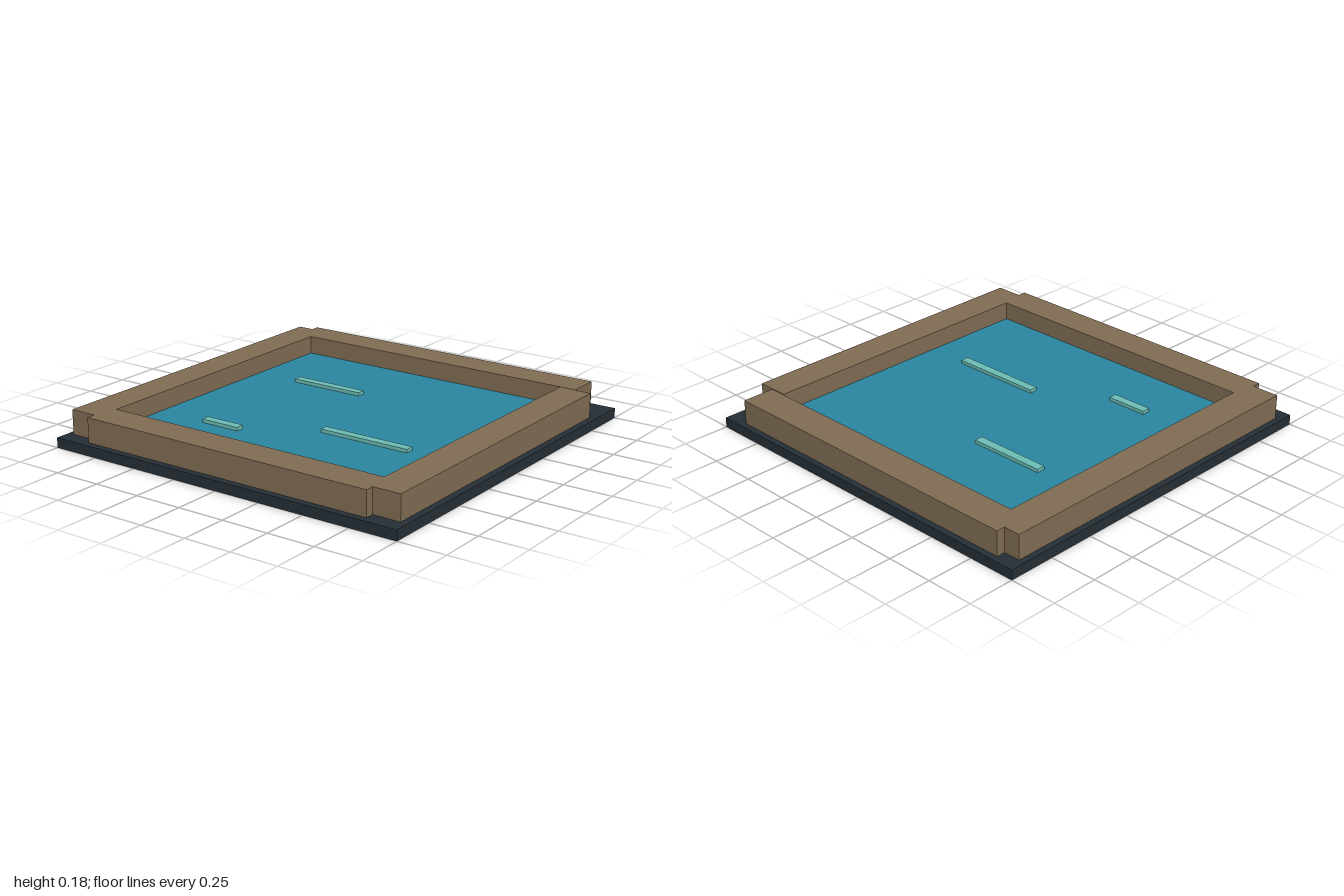
import * as THREE from 'three';

const mat = (color) => new THREE.MeshStandardMaterial({ color });

// Box given by its x, y and z ranges
function slab(name, material, [x0, x1], [y0, y1], [z0, z1]) {
  const mesh = new THREE.Mesh(new THREE.BoxGeometry(x1 - x0, y1 - y0, z1 - z0), material);
  mesh.name = name;
  mesh.position.set((x0 + x1) / 2, (y0 + y1) / 2, (z0 + z1) / 2);
  return mesh;
}

export function createModel() {
  const model = new THREE.Group();
  model.name = 'pool';
  const stone = mat(0x806d54);
  const foam = mat(0x6cbdb5);

  // Ground plate and water
  model.add(slab('basePlate', mat(0x262f36), [-1, 1], [0, 0.052], [-1, 1]));
  model.add(slab('water', mat(0x2a86a0), [-0.797, 0.79], [0.052, 0.085], [-0.797, 0.79]));

  // Rim stones of uneven length, leaving notched corners
  const rim = [0.052, 0.181];
  model.add(slab('backRim', stone, [-0.88, 0.876], rim, [-0.968, -0.795]));
  model.add(slab('frontRim', stone, [-0.822, 0.818], rim, [0.79, 0.964]));
  model.add(slab('rightRim', stone, [-0.968, -0.795], rim, [-0.923, 0.918]));
  model.add(slab('leftRim', stone, [0.79, 0.964], rim, [-0.79, 0.918]));

  // Ripples lying on the water: x start, x end, z centre
  const ripples = [[-0.54, -0.125, -0.334], [0.054, 0.558, 0.238], [-0.51, -0.288, 0.46]];
  for (const [x0, x1, z] of ripples) {
    model.add(slab('ripple', foam, [x0, x1], [0.083, 0.103], [z - 0.023, z + 0.023]));
  }
  return model;
}
